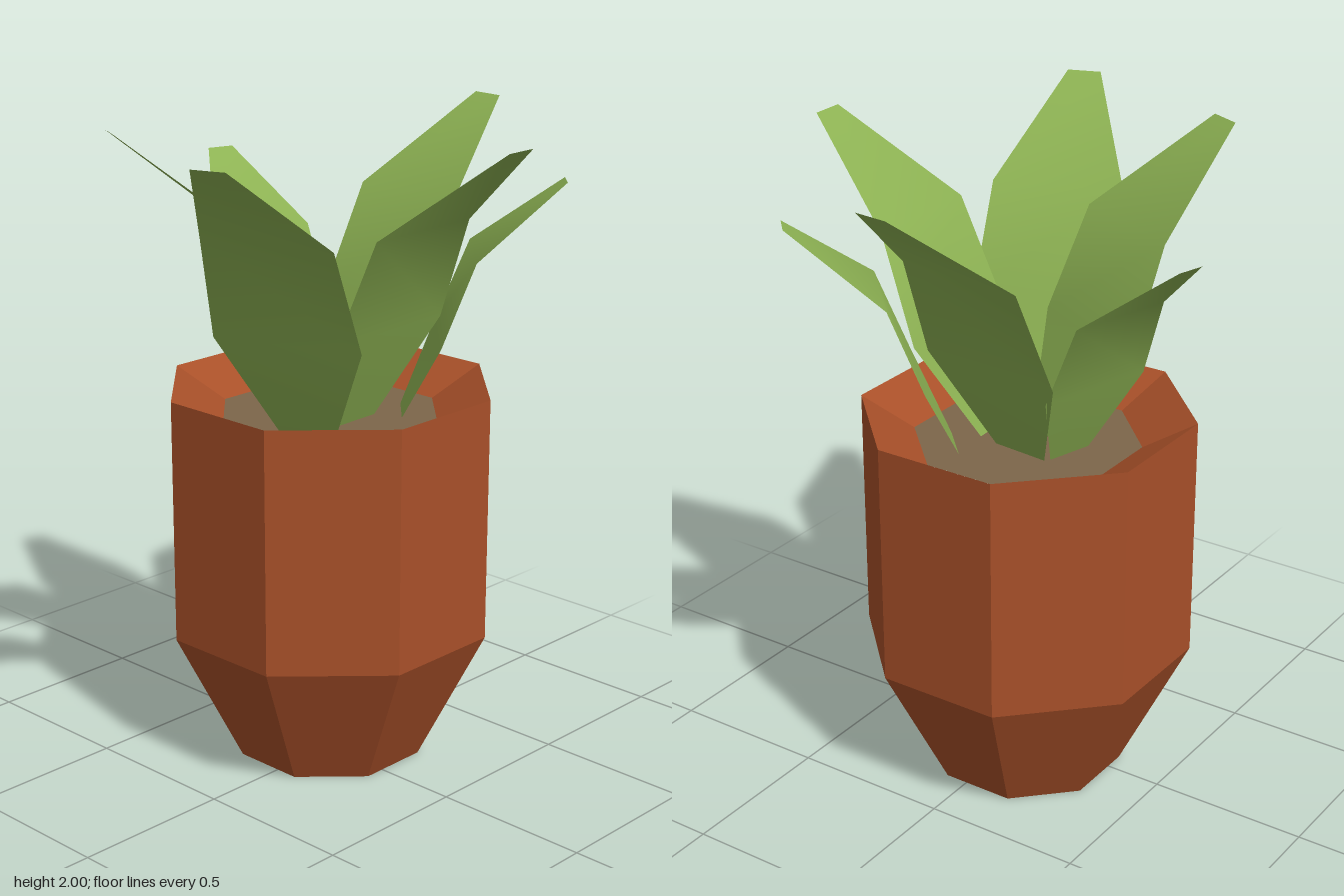
import * as THREE from 'three';

const potMat = new THREE.MeshStandardMaterial({ color: 0xa85029 });
const soilMat = new THREE.MeshStandardMaterial({ color: 0x7d664a });
const leafMat = new THREE.MeshStandardMaterial({ color: 0x8db253, side: THREE.DoubleSide });

const POT_X = -0.042, POT_Z = -0.051;

// Leaf rows from tip to base: distance back from tip, drop below tip, half width
const ROWS = [
  [0, 0, 0.053],
  [0.34, 0.27, 0.207],
  [0.467, 0.59, 0.236],
  [0.61, 0.91, 0.087],
];

// Flat-faced leaf ribbon; (dx, dz) is the outward direction
function makeLeaf([x, y, z, dx, dz, scale]) {
  const len = Math.hypot(dx, dz);
  const ux = dx / len, uz = dz / len;
  const pos = [], index = [];
  ROWS.forEach(([back, drop, half], i) => {
    for (const side of [-1, 1]) {
      pos.push(
        x + scale * (-ux * back - uz * half * side),
        y - scale * drop,
        z + scale * (-uz * back + ux * half * side));
    }
    if (i > 0) {
      const a = 2 * (i - 1);
      index.push(a, a + 2, a + 1, a + 1, a + 2, a + 3);
    }
  });
  const geo = new THREE.BufferGeometry();
  geo.setAttribute('position', new THREE.Float32BufferAttribute(pos, 3));
  geo.setIndex(index);
  geo.computeVertexNormals();
  return new THREE.Mesh(geo, leafMat);
}

export function createModel() {
  const model = new THREE.Group();

  // Eight-sided pot with a tapered foot and a sloping inner lip
  const profile = [[0, 0], [0.3, 0], [0.514, 0.43], [0.514, 1.195], [0.345, 1.1]]
    .map(([r, h]) => new THREE.Vector2(r, h));
  const potGeo = new THREE.LatheGeometry(profile, 8, Math.PI / 8).toNonIndexed();
  potGeo.computeVertexNormals();
  const pot = new THREE.Mesh(potGeo, potMat);
  pot.name = 'pot';
  pot.position.set(POT_X, 0, POT_Z);
  model.add(pot);

  // Soil inside the lip
  const soil = new THREE.Mesh(new THREE.CircleGeometry(0.35, 8, Math.PI / 8), soilMat);
  soil.name = 'soil';
  soil.rotation.x = -Math.PI / 2;
  soil.position.set(POT_X, 1.103, POT_Z);
  model.add(soil);

  // Six leaves: tip position, outward direction, scale
  const leaves = new THREE.Group();
  leaves.name = 'leaves';
  const specs = [
    [0.27, 2, 0.732, 0.33, 0.94, 1],
    [-0.022, 2, -0.75, 0.1, -0.995, 1],
    [-0.353, 2, 0.533, -0.436, 0.9, 1],
    [0.683, 2, -0.05, 1, -0.03, 1],
    [-0.672, 1.82, -0.202, -0.96, -0.27, 0.8],
    [0.46, 1.82, -0.543, 0.72, -0.69, 0.8],
  ];
  specs.forEach((spec, i) => {
    const leaf = makeLeaf(spec);
    leaf.name = `leaf${i + 1}`;
    leaves.add(leaf);
  });
  model.add(leaves);

  return model;
}
